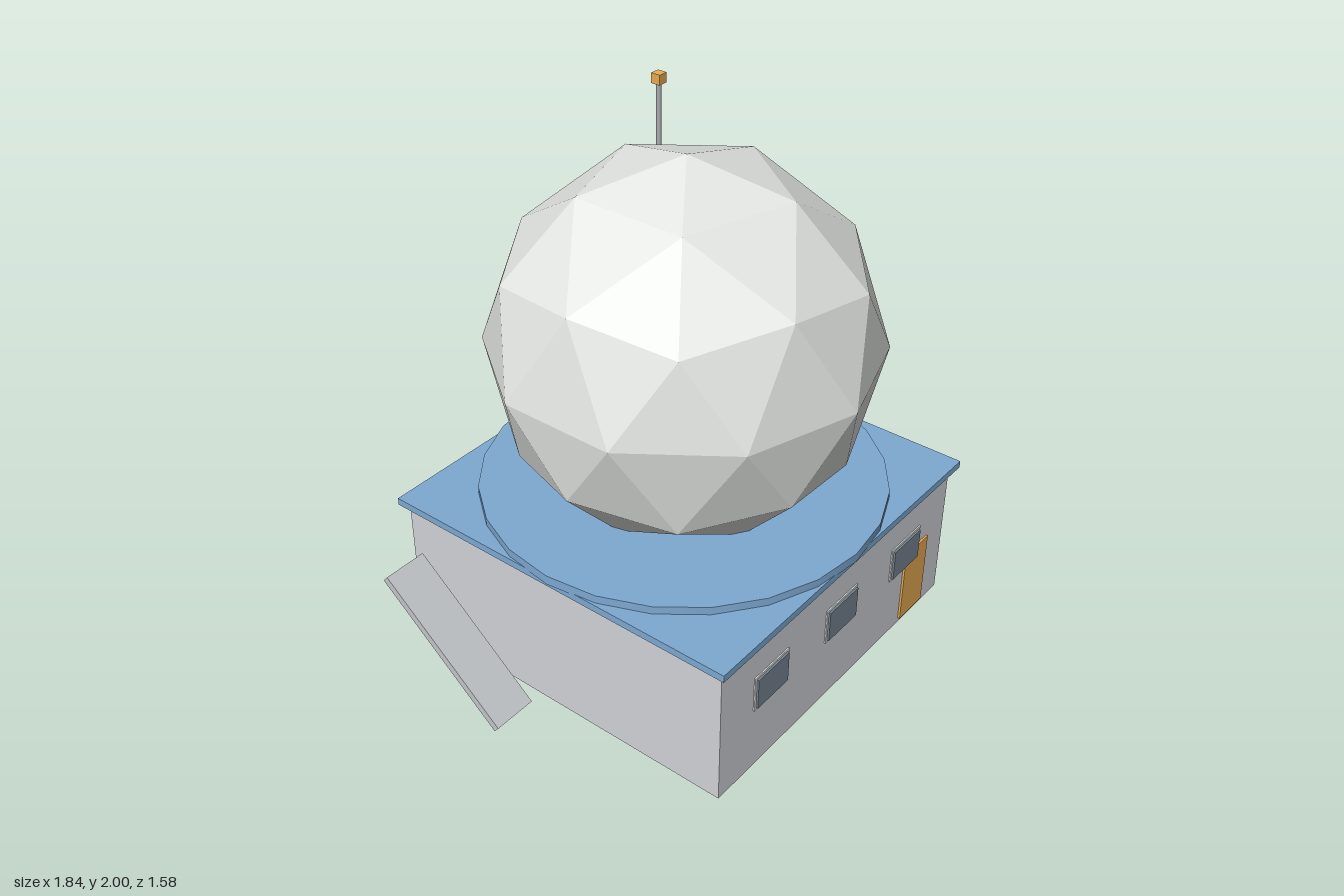
import * as THREE from 'three';

const mat = (name, color) => Object.assign(new THREE.MeshStandardMaterial({ color }), { name });

export function createModel() {
  const model = new THREE.Group();
  model.name = 'radomeStation';

  const white = mat('domeWhite', 0xe4e7e3);
  const wall = mat('wallGrey', 0xd0d3d8);
  const blue = mat('roofBlue', 0x7ea9d2);
  const orange = mat('orange', 0xefb155);
  const glass = mat('glassSlate', 0x788695);
  const panelGrey = mat('panelGrey', 0xc2c5c8);
  const mastGrey = mat('mastGrey', 0xacafb2);

  const add = (name, geometry, material, x, y, z) => {
    const mesh = new THREE.Mesh(geometry, material);
    mesh.name = name;
    mesh.position.set(x, y, z);
    model.add(mesh);
    return mesh;
  };
  const box = (name, w, h, d, material, x, y, z) =>
    add(name, new THREE.BoxGeometry(w, h, d), material, x, y, z);

  const cx = 0.125; // building axis

  // Building and roof
  box('building', 1.49, 0.602, 1.49, wall, cx, 0.301, 0);
  box('roofSlab', 1.55, 0.03, 1.55, blue, cx, 0.616, 0);
  const disc = new THREE.CylinderGeometry(0.79, 0.79, 0.038, 24);
  add('roofDisc', disc, blue, cx, 0.645, 0);

  // Faceted dome, turned so that one corner points straight up
  const dome = new THREE.IcosahedronGeometry(0.745, 1);
  dome.rotateX(-Math.atan((1 + Math.sqrt(5)) / 2));
  dome.rotateY(Math.PI / 2);
  dome.computeVertexNormals(); // unshared corners give flat facets
  add('dome', dome, white, cx, 1.255, 0);

  // Front windows: the glass stands slightly proud of its frame
  for (let i = -1; i <= 1; i++) {
    const x = cx + i * 0.448;
    box('windowFrame', 0.205, 0.154, 0.008, white, x, 0.358, 0.746);
    box('windowGlass', 0.185, 0.134, 0.009, glass, x, 0.358, 0.7535);
  }

  // Door
  box('door', 0.162, 0.325, 0.009, orange, 0.66, 0.183, 0.7495);

  // Mast with beacon
  add('mast', new THREE.CylinderGeometry(0.011, 0.011, 1.285, 8), mastGrey, 0.72, 1.2725, -0.6);
  box('beacon', 0.042, 0.042, 0.042, orange, 0.72, 1.932, -0.6);

  // Tilted panel beside the building, high end to the back
  const panel = box('tiltedPanel', 0.18, 0.032, 0.685, panelGrey, -0.835, 0.303, -0.303);
  panel.rotation.x = THREE.MathUtils.degToRad(40);

  return model;
}
